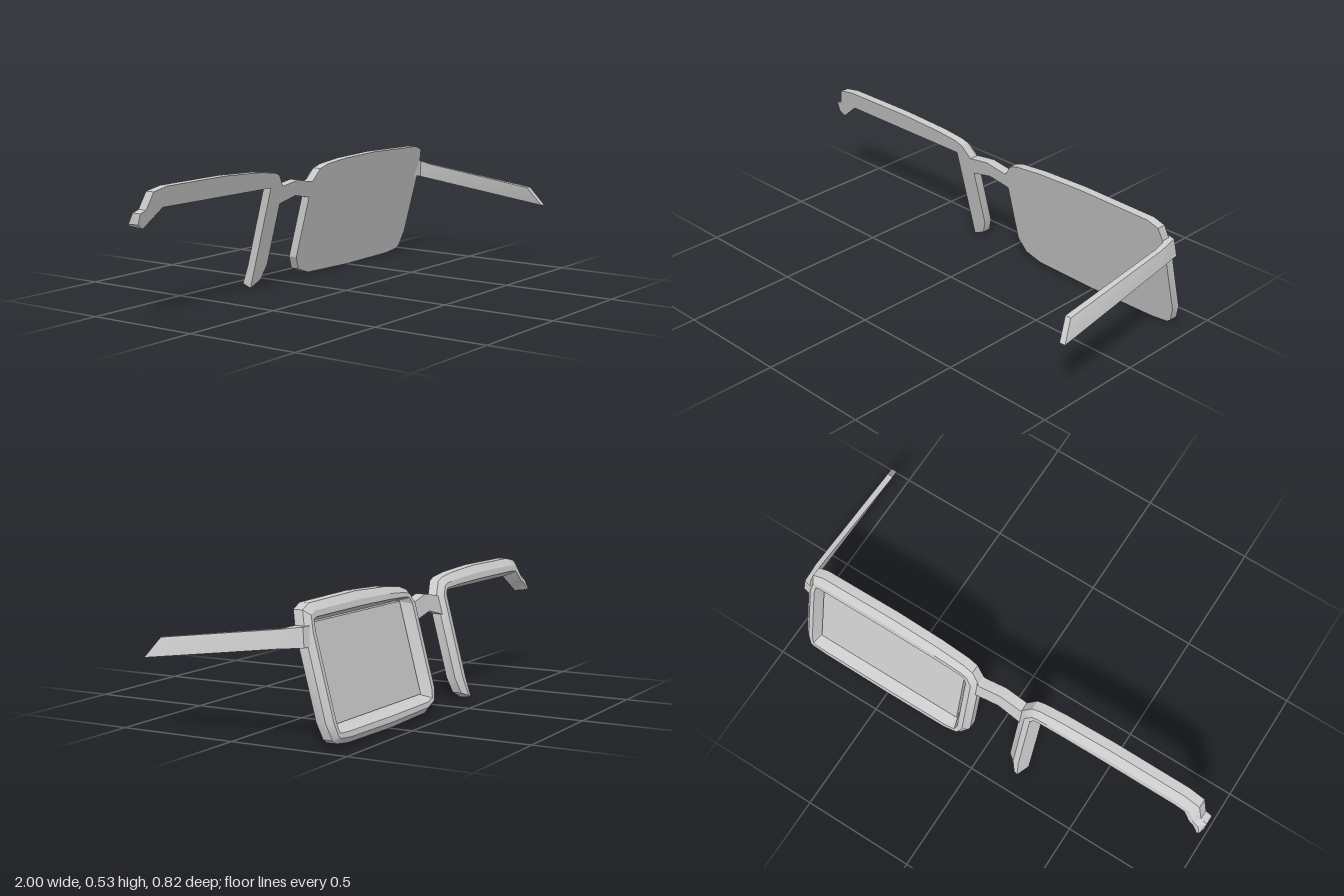
import * as THREE from 'three';
import { toCreasedNormals } from 'three/addons/utils/BufferGeometryUtils.js';

const material = new THREE.MeshStandardMaterial({ color: 0xcccccc });

// Point on the leaning frame plane: d is the depth behind the front face
const onFrame = (x, y, d) => new THREE.Vector3(x, y, -0.22 - (0.537 - y) * 0.264 - d);

// Skin a list of equal-length closed sections; cap the ends unless the path is a loop
function loft(name, rings, loop = false) {
  const n = rings[0].length, m = rings.length, index = [];
  for (let i = 0; i < (loop ? m : m - 1); i++) {
    for (let j = 0; j < n; j++) {
      const k = (j + 1) % n, next = ((i + 1) % m) * n;
      const a = i * n + j, b = i * n + k, c = next + k, d = next + j;
      index.push(a, b, c, a, c, d);
    }
  }
  if (!loop) {
    const last = (m - 1) * n;
    for (let k = 1; k < n - 1; k++) index.push(0, k + 1, k, last, last + k, last + k + 1);
  }
  // Make the faces point outward
  const pts = rings.flat();
  let volume = 0;
  for (let i = 0; i < index.length; i += 3) {
    volume += pts[index[i]].dot(pts[index[i + 1]].clone().cross(pts[index[i + 2]]));
  }
  if (volume < 0) index.reverse();
  const geometry = new THREE.BufferGeometry().setFromPoints(pts);
  geometry.setIndex(index);
  const mesh = new THREE.Mesh(toCreasedNormals(geometry, 0.5), material);
  mesh.name = name;
  return mesh;
}

// Rim cross-section from outer edge to inner edge, bevelled at the back
const rimProfile = [[0, 0], [0, 0.04], [0.35, 0.062], [0.65, 0.062], [1, 0]];
const rimSection = ([ox, oy, ix, iy]) =>
  rimProfile.map(([t, d]) => onFrame(ox + (ix - ox) * t, oy + (iy - oy) * t, d));

export function createModel() {
  const group = new THREE.Group();
  group.name = 'brokenSpectacles';

  // Whole rim around the remaining lens
  const outline = [
    [0.085, 0.445], [0.125, 0.5], [0.17, 0.515], [0.3, 0.529], [0.52, 0.537], [0.87, 0.53],
    [0.92, 0.51], [0.94, 0.43], [0.94, 0.1], [0.92, 0.035], [0.9, 0.02], [0.82, 0.01],
    [0.5, 0.005], [0.2, 0.012], [0.12, 0.04], [0.085, 0.1],
  ];
  const [x0, x1, y0, y1] = [0.165, 0.875, 0.08, 0.455];
  const clamp = THREE.MathUtils.clamp;
  group.add(loft('wholeRim',
    outline.map(([x, y]) => rimSection([x, y, clamp(x, x0, x1), clamp(y, y0, y1)])), true));

  // Lens pane, flush with the front of the rim
  const corners = [[x0, y0], [x1, y0], [x1, y1], [x0, y1]];
  group.add(loft('lens', [0, 0.02].map((d) => corners.map(([x, y]) => onFrame(x, y, d)))));

  // Broken rim: nose-side post, brow bar and hinge stub (outer xy, inner xy)
  const broken = [
    [-0.145, 0.035, -0.205, 0.005], [-0.12, 0.1, -0.205, 0.09], [-0.12, 0.445, -0.205, 0.45],
    [-0.165, 0.503, -0.205, 0.45], [-0.2, 0.515, -0.21, 0.45], [-0.3, 0.527, -0.3, 0.45],
    [-0.52, 0.537, -0.52, 0.45], [-0.87, 0.535, -0.85, 0.45], [-0.945, 0.52, -0.875, 0.45],
    [-0.97, 0.45, -0.91, 0.422], [-1, 0.44, -0.93, 0.406], [-1, 0.395, -0.97, 0.375],
  ];
  group.add(loft('brokenRim', broken.map(rimSection)));

  // Bridge (x, top, bottom)
  const bridge = [[-0.135, 0.446, 0.365], [-0.115, 0.45, 0.372], [-0.02, 0.465, 0.395],
    [0.08, 0.446, 0.376], [0.105, 0.455, 0.37]];
  group.add(loft('bridge', bridge.map(([x, t, b]) =>
    [onFrame(x, t, 0), onFrame(x, t, 0.045), onFrame(x, b, 0.045), onFrame(x, b, 0)])));

  // Remaining temple arm: top y, bottom y, inner xz, outer xz, shift of the bottom edge in x and z
  const arm = [
    [0.455, 0.38, 0.9, -0.25, 0.91, -0.3, 0, -0.015],
    [0.453, 0.377, 0.94, -0.24, 0.955, -0.29, 0.01, -0.01],
    [0.44, 0.368, 0.943, -0.19, 0.965, -0.2, 0.01, 0],
    [0.37, 0.29, 0.945, 0.34, 0.972, 0.34, 0.028, 0.06],
  ];
  group.add(loft('templeArm', arm.map(([t, b, xi, zi, xo, zo, dx, dz]) => [
    new THREE.Vector3(xi, t, zi), new THREE.Vector3(xo, t, zo),
    new THREE.Vector3(xo + dx, b, zo + dz), new THREE.Vector3(xi + dx, b, zi + dz),
  ])));

  return group;
}
